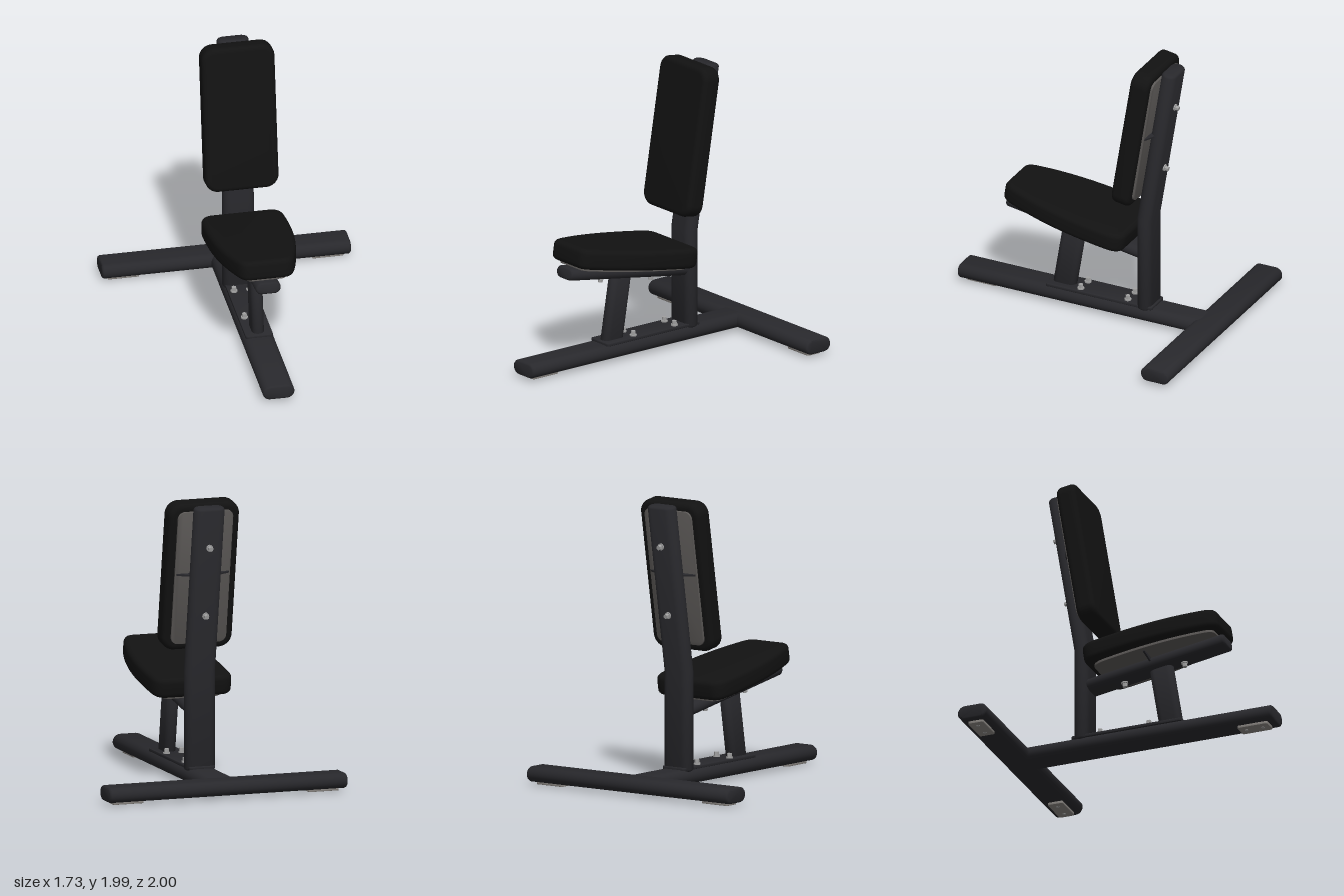
import * as THREE from 'three';
import { toCreasedNormals } from 'three/addons/utils/BufferGeometryUtils.js';

const TILT = 0.163; // seat and backrest share the same lean
const mat = (color) => new THREE.MeshStandardMaterial({ color });
const FRAME = mat(0x28282c), PAD = mat(0x121212), PLATE = mat(0x5c5957), STEEL = mat(0xa0a0a0), FOOT = mat(0x8a8682);
const V = (x, y, z) => new THREE.Vector3(x, y, z);

function add(parent, name, geometry, material, x = 0, y = 0, z = 0) {
  const mesh = new THREE.Mesh(geometry, material);
  mesh.name = name;
  mesh.position.set(x, y, z);
  parent.add(mesh);
  return mesh;
}

// Flat-oval outline; centres stay put while the radius shrinks by the inset
function ovalPoint(k, n, width, thick, inset) {
  const half = n / 2, right = k < half;
  const a = -Math.PI / 2 + (right ? k : k - half) / (half - 1) * Math.PI + (right ? 0 : Math.PI);
  const r = thick / 2 - inset;
  return [(right ? 1 : -1) * (width - thick) / 2 + r * Math.cos(a), r * Math.sin(a)];
}

// Flat-oval tube along a mitred path, with softly rounded end caps
function ovalTube(path, side, width, thick) {
  const n = 28, last = path.length - 1, rings = [];
  const dir = (i) => path[i + 1].clone().sub(path[i]).normalize();
  const ring = (centre, tangent, stretch, inset) => {
    const normal = tangent.clone().cross(side).multiplyScalar(stretch);
    rings.push(Array.from({ length: n }, (_, k) => {
      const [u, v] = ovalPoint(k, n, width, thick, inset);
      return centre.clone().addScaledVector(side, u).addScaledVector(normal, v);
    }));
  };
  const caps = [[0, 0.014], [0.004, 0.006], [0.014, 0]];
  for (const [d, e] of caps) ring(path[0].clone().addScaledVector(dir(0), d), dir(0), 1, e);
  for (let i = 1; i < last; i++) {
    const t = dir(i - 1).add(dir(i)).normalize();
    ring(path[i], t, 1 / t.dot(dir(i)), 0);
  }
  for (const [d, e] of caps.slice().reverse()) ring(path[last].clone().addScaledVector(dir(last - 1), -d), dir(last - 1), 1, e);

  const pos = [], idx = [];
  rings.forEach((r) => r.forEach((p) => pos.push(p.x, p.y, p.z)));
  for (let i = 0; i < rings.length - 1; i++) {
    for (let k = 0; k < n; k++) {
      const a = i * n + k, b = i * n + (k + 1) % n;
      idx.push(a, b, b + n, a, b + n, a + n);
    }
  }
  const top = (rings.length - 1) * n;
  for (let k = 1; k < n - 1; k++) idx.push(0, k + 1, k, top, top + k, top + k + 1);
  const geo = new THREE.BufferGeometry();
  geo.setAttribute('position', new THREE.Float32BufferAttribute(pos, 3));
  geo.setIndex(idx);
  return toCreasedNormals(geo, 0.8);
}

function roundedRect(x0, y0, x1, y1, r) {
  const s = new THREE.Shape();
  s.moveTo(x0 + r, y0);
  s.lineTo(x1 - r, y0).absarc(x1 - r, y0 + r, r, -Math.PI / 2, 0);
  s.absarc(x1 - r, y1 - r, r, 0, Math.PI / 2);
  s.absarc(x0 + r, y1 - r, r, Math.PI / 2, Math.PI);
  s.absarc(x0 + r, y0 + r, r, Math.PI, Math.PI * 1.5);
  return s;
}

// Seat outline: broad at the rear, tapering towards the front (shape y = forward)
function seatShape(sx, sy) {
  const s = new THREE.Shape();
  const curve = (...p) => s.bezierCurveTo(...p.map((v, i) => v * (i % 2 ? sy : sx)));
  s.moveTo(-0.2 * sx, -0.485 * sy);
  s.lineTo(0.2 * sx, -0.485 * sy);
  curve(0.25, -0.485, 0.285, -0.45, 0.288, -0.38);
  curve(0.3, -0.1, 0.28, 0.15, 0.2, 0.4);
  curve(0.185, 0.45, 0.16, 0.48, 0.12, 0.48);
  s.lineTo(-0.12 * sx, 0.48 * sy);
  curve(-0.16, 0.48, -0.185, 0.45, -0.2, 0.4);
  curve(-0.28, 0.15, -0.3, -0.1, -0.288, -0.38);
  curve(-0.285, -0.45, -0.25, -0.485, -0.2, -0.485);
  return s;
}

// Slab from z = 0 to z = depth with rounded edges, outline kept at full size
function slab(shape, depth, bevel) {
  const geo = new THREE.ExtrudeGeometry(shape, {
    depth: depth - 2 * bevel, bevelSize: bevel, bevelThickness: bevel, bevelOffset: -bevel,
    bevelSegments: 5, curveSegments: 10,
  });
  geo.translate(0, 0, bevel);
  return toCreasedNormals(geo, 0.6);
}

// Hex bolt with washer, pointing along +y
function bolt(parent, x, y, z, rotX = 0) {
  const g = new THREE.Group();
  g.name = 'bolt';
  add(g, 'washer', new THREE.CylinderGeometry(0.024, 0.024, 0.01, 20), STEEL, 0, 0.005, 0);
  add(g, 'hexHead', toCreasedNormals(new THREE.CylinderGeometry(0.017, 0.018, 0.025, 6), 0.5), STEEL, 0, 0.0225, 0);
  g.position.set(x, y, z);
  g.rotation.x = rotX;
  parent.add(g);
}

// Pair of thin triangular gussets spreading from a tube to a pad plate
function gussets(parent, inner, depth, place) {
  for (const s of [-1, 1]) {
    const shape = new THREE.Shape([[inner, 0], [0.19, 0], [0.19, -0.008], [inner, -depth]].map(([x, y]) => new THREE.Vector2(s * x, y)));
    const geo = new THREE.ExtrudeGeometry(shape, { depth: 0.012, bevelEnabled: false });
    place(add(parent, 'gusset', geo, FRAME));
  }
}

function foot(parent, x, z, w, d) {
  const geo = slab(roundedRect(-w / 2, -d / 2, w / 2, d / 2, 0.012), 0.023, 0.002).rotateX(Math.PI / 2);
  add(parent, 'footPad', geo, FOOT, x, 0.025, z);
  for (const s of [-1, 1]) {
    add(parent, 'footScrew', new THREE.CylinderGeometry(0.012, 0.012, 0.01, 16), STEEL,
      x + (w > d ? s * 0.06 : 0), 0.005, z + (d > w ? s * 0.06 : 0));
  }
}

export function createModel() {
  const model = new THREE.Group();
  model.name = 'bench';
  const X = V(1, 0, 0), Z = V(0, 0, 1);
  const lean = V(0, Math.cos(TILT), -Math.sin(TILT));
  const forward = V(0, Math.sin(TILT), Math.cos(TILT));

  // T-shaped base
  add(model, 'rearBar', ovalTube([V(-0.865, 0.0725, -0.892), V(0.865, 0.0725, -0.892)], Z, 0.216, 0.105), FRAME);
  add(model, 'baseBeam', ovalTube([V(0, 0.0725, -0.85), V(0, 0.0725, 1)], X, 0.22, 0.105), FRAME);
  foot(model, 0.71, -0.885, 0.22, 0.11);
  foot(model, -0.71, -0.885, 0.22, 0.11);
  foot(model, 0, 0.84, 0.11, 0.22);

  // Mounting plate with its bolts
  const mount = slab(roundedRect(-0.095, -0.48, 0.095, 0.335, 0.02), 0.02, 0.002).rotateX(Math.PI / 2);
  add(model, 'mountingPlate', mount, FRAME, 0, 0.14, 0);
  for (const z of [0.08, -0.28]) for (const x of [-0.055, 0.055]) bolt(model, x, 0.14, z);

  // Bent upright and leaning front strut
  const bend = V(0, 0.8, -0.4125);
  add(model, 'upright', ovalTube([V(0, 0.11, -0.4125), bend, bend.clone().addScaledVector(lean, 1.172)], X, 0.22, 0.105), FRAME);
  const strutBase = V(0, 0.11, 0.229);
  add(model, 'frontStrut', ovalTube([strutBase, strutBase.clone().addScaledVector(lean, 0.5)], forward, 0.17, 0.085), FRAME);

  // Seat, in its own tilted frame
  const seat = new THREE.Group();
  seat.name = 'seat';
  seat.position.set(0, 0.672, 0.155);
  seat.rotation.x = -TILT;
  model.add(seat);
  add(seat, 'seatPad', slab(seatShape(1, 1), 0.14, 0.035).rotateX(Math.PI / 2), PAD, 0, 0.14, 0);
  add(seat, 'seatPlate', slab(seatShape(0.78, 0.9), 0.022, 0.002).rotateX(Math.PI / 2), PLATE, 0, 0.004, 0);
  add(seat, 'seatTube', ovalTube([V(0, -0.061, -0.56), V(0, -0.061, 0.482)], X, 0.175, 0.085), FRAME);
  for (const z of [0.149, -0.298]) bolt(seat, 0, -0.103, z, Math.PI);
  gussets(seat, 0.07, 0.045, (m) => m.position.set(0, -0.017, -0.07));

  // Backrest, in its own leaning frame
  const back = new THREE.Group();
  back.name = 'backrest';
  back.position.set(0, 0.935, -0.37);
  back.rotation.x = -TILT;
  model.add(back);
  add(back, 'backPad', slab(roundedRect(-0.255, 0, 0.255, 1.05, 0.09), 0.14, 0.035), PAD);
  add(back, 'backPlate', slab(roundedRect(-0.2, 0.05, 0.2, 1, 0.05), 0.018, 0.002), PLATE, 0, 0, -0.014);
  for (const y of [0.28, 0.77]) bolt(back, 0, y, -0.115, -Math.PI / 2);
  gussets(back, 0.08, 0.05, (m) => {
    m.rotation.x = Math.PI / 2;
    m.position.set(0, 0.56, -0.012);
  });
  return model;
}
